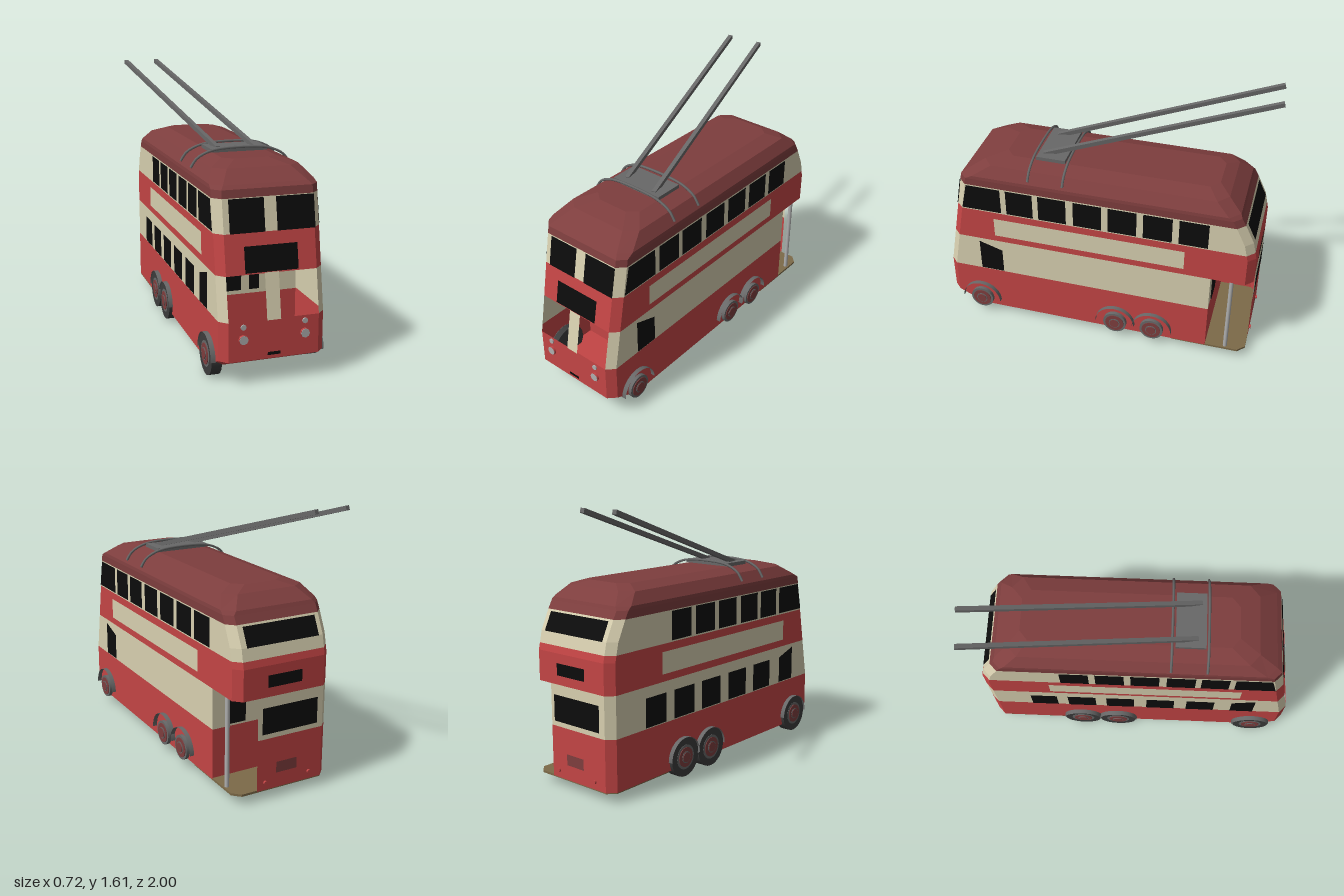
import * as THREE from 'three';

const CX = 0.022, W = 0.305;
const mat = (name, color, side = THREE.DoubleSide) => {
  const m = new THREE.MeshStandardMaterial({ color, side });
  m.name = name;
  return m;
};

export function createModel() {
  const red = mat('red paint', 0xc44545), cream = mat('cream paint', 0xd8d0b0), roofRed = mat('roof maroon', 0x7e3e3e);
  const black = mat('window black', 0x0c0c0c), grey = mat('steel grey', 0x686868), silver = mat('silver', 0xb0b0b0);
  const tyre = mat('tyre', 0x3c3c3c), brown = mat('platform brown', 0x7d6a48);
  const root = new THREE.Group();
  root.name = 'trolleybus';

  const add = (name, geo, material, x = 0, y = 0, z = 0, parent = root) => {
    const m = new THREE.Mesh(geo, material);
    m.name = name;
    m.position.set(x, y, z);
    parent.add(m);
    return m;
  };
  const box = (name, w, h, d, material, x, y, z) => add(name, new THREE.BoxGeometry(w, h, d), material, x, y, z);

  // Eight-cornered horizontal outline with chamfered ends
  const ring = (y, zf, zb, w = W, cf = 0.045, cb = 0.045, c = 0.045, rearX = w - c) => [
    [w, zb + cb], [w, zf - cf], [w - c, zf], [c - w, zf], [-w, zf - cf], [-w, zb + cb], [c - w, zb], [rearX, zb],
  ].map(([x, z]) => new THREE.Vector3(x + CX, y, z));

  // Flat-faced shell through a list of outlines; sides: 0 left, 2 front, 4 right, 6 rear
  const loft = (name, rings, material, { skip = [], bottom = false, top = false } = {}) => {
    const pts = [];
    for (let k = 0; k + 1 < rings.length; k++) {
      const lo = rings[k], hi = rings[k + 1];
      for (let i = 0; i < 8; i++) {
        if (skip.includes(i)) continue;
        const j = (i + 1) % 8;
        pts.push(lo[j], lo[i], hi[i], lo[j], hi[i], hi[j]);
      }
    }
    const first = rings[0], last = rings[rings.length - 1];
    for (let i = 1; i < 7; i++) {
      if (bottom) pts.push(first[0], first[i], first[i + 1]);
      if (top) pts.push(last[0], last[i + 1], last[i]);
    }
    const g = new THREE.BufferGeometry().setFromPoints(pts);
    g.computeVertexNormals();
    return add(name, g, material);
  };

  // Front and rear face positions by height
  const profile = (table) => (y) => {
    for (let i = 1; i < table.length; i++) {
      const [y0, z0] = table[i - 1], [y1, z1] = table[i];
      if (y <= y1) return z0 + (z1 - z0) * (y - y0) / (y1 - y0);
    }
    return table[table.length - 1][1];
  };
  const zf = profile([[0.06, 0.82], [0.14, 0.985], [0.365, 0.985], [1.06, 0.857]]);
  const zb = profile([[0.06, -0.965], [0.79, -0.965], [0.9, -0.94], [1.015, -0.885], [1.06, -0.86]]);
  const full = (y) => ring(y, zf(y), zb(y));
  const front = (y) => ring(y, zf(y), -0.715, W, 0.045, 0);

  // Lower deck, ending at the platform bulkhead, with an open cab front
  loft('lowerRedBody', [front(0.06), front(0.14), front(0.365)], red, { bottom: true });
  loft('lowerCreamBody', [front(0.365), front(0.61)], cream, { skip: [2] });
  // Rear corner around the open platform
  const back = (y) => ring(y, -0.715, -0.965, W, 0, 0.045, 0.045, 0.165);
  const open = { skip: [0, 1, 2, 3, 7] };
  loft('platformRedWall', [back(0.06), back(0.365)], red, open);
  loft('platformCreamWall', [back(0.365), back(0.61)], cream, open);
  const slab = (y) => ring(y, -0.5, -0.964, W - 0.001, 0);
  loft('platformFloor', [slab(0.054), slab(0.067)], brown, { bottom: true, top: true });
  add('platformPole', new THREE.CylinderGeometry(0.013, 0.013, 0.55, 12), silver, 0.305, 0.335, -0.84);

  // Upper deck and domed roof
  loft('middleRedBand', [full(0.61), full(0.79), full(0.83)], red, { bottom: true });
  loft('upperCreamBand', [full(0.83), full(0.9), full(1.015)], cream);
  loft('roof', [full(1.015), full(1.06), ring(1.08, 0.83, -0.85, 0.302, 0.06, 0.06, 0.06),
    ring(1.145, 0.72, -0.77, 0.255, 0.06, 0.06, 0.07), ring(1.175, 0.6, -0.7, 0.16, 0.05, 0.05, 0.06)], roofRed, { top: true });

  // Thin painted plates laid on the faces
  const plate = (name, pts, material, map) => {
    const g = new THREE.ShapeGeometry(new THREE.Shape(pts.map((p) => new THREE.Vector2(...p))));
    const p = g.attributes.position;
    for (let i = 0; i < p.count; i++) p.setXYZ(i, ...map(p.getX(i), p.getY(i)));
    g.computeVertexNormals();
    // Keep the normals pointing out of the body
    return add(name, g, material);
  };
  const rect = (a, b, c, d) => [[a, c], [b, c], [b, d], [a, d]];
  const onFront = (x, y) => [x, y, zf(y) + 0.004];
  const onRear = (x, y) => [-x, y, zb(y) - 0.004];
  const onSide = (s) => (u, y) => [CX + s * (W + 0.004), y, -s * u];
  // Side plates take z from front to back and an optional lower front top corner
  const sidePlate = (name, s, pts, material) => {
    const q = pts.map(([z, y]) => [-s * z, y]);
    plate(name, q, material, onSide(s));
  };

  for (const s of [1, -1]) {
    sidePlate('frontUpperWindow', s, [[0.85, 0.84], [0.595, 0.84], [0.595, 1.01], [0.812, 1.01]], black);
    const spans = [[0.39, 0.56], [0.18, 0.355], [-0.04, 0.135], [-0.255, -0.08], [-0.47, -0.295], [-0.685, -0.51]];
    spans.slice(0, s > 0 ? 6 : 5).forEach(([a, b]) => sidePlate('upperWindow', s, rect(a, b, 0.84, 1.01), black));
    sidePlate('sidePanel', s, rect(-0.55, 0.65, 0.655, 0.785), cream);
    sidePlate('cabSideWindow', s, [[0.76, 0.372], [0.61, 0.372], [0.61, 0.54], [0.76, 0.588]], black);
  }
  for (const [a, b] of [[0.32, 0.5], [0.06, 0.24], [-0.2, -0.02], [-0.45, -0.27], [-0.69, -0.52]])
    sidePlate('lowerWindow', -1, rect(a, b, 0.372, 0.545), black);

  plate('frontUpperWindow', rect(-0.205, -0.005, 0.83, 1.012), black, onFront);
  plate('frontUpperWindow', rect(0.065, 0.285, 0.83, 1.012), black, onFront);
  plate('frontSign', rect(-0.13, 0.175, 0.618, 0.76), black, onFront);
  plate('numberPlate', rect(-0.015, 0.06, 0.16, 0.178), black, onFront);
  plate('cabPillar', rect(-0.02, 0.06, 0.36, 0.615), cream, onFront);
  plate('rearUpperWindow', rect(-0.25, 0.21, 0.9, 1.005), black, onRear);
  plate('rearSign', rect(-0.13, 0.09, 0.665, 0.735), black, onRear);
  plate('rearLowerWindow', rect(-0.16, 0.2, 0.395, 0.55), black, onRear);
  plate('rearPlate', rect(-0.065, 0.07, 0.15, 0.215), roofRed, onRear);

  // Cab bulkhead and platform bulkhead windows
  box('cabBulkheadLower', 0.6, 0.3, 0.01, red, CX, 0.215, 0.55);
  box('cabBulkheadUpper', 0.6, 0.245, 0.01, cream, CX, 0.4875, 0.55);
  box('cabBulkheadWindow', 0.18, 0.15, 0.006, black, -0.11, 0.465, 0.558);
  box('cabBulkheadWindow', 0.06, 0.15, 0.006, black, 0.06, 0.465, 0.558);
  box('platformBulkheadWindow', 0.13, 0.16, 0.006, black, 0.18, 0.46, -0.719);

  // Lamps
  const lamp = (name, r, depth, material, x, y, z) => {
    add(name, new THREE.CylinderGeometry(r, r, depth, 8).rotateX(Math.PI / 2), material, x, y, z);
  };
  for (const x of [-0.155, 0.2]) {
    lamp('headlampHousing', 0.028, 0.014, red, x, 0.265, 0.99);
    lamp('headlampLens', 0.026, 0.004, silver, x, 0.265, 0.998);
    lamp('sideLamp', 0.016, 0.01, silver, x, 0.335, 0.988);
  }
  for (const x of [-0.155, 0.135]) lamp('tailLamp', 0.012, 0.012, red, x, 0.105, -0.97);

  // Wheels and thin half-round arches
  const disc = (name, r, x0, x1, material, z) =>
    add(name, new THREE.CylinderGeometry(r, r, Math.abs(x1 - x0), 24).rotateZ(Math.PI / 2), material, (x0 + x1) / 2, 0.12, z);
  for (const z of [0.775, -0.13, -0.37]) {
    for (const s of [1, -1]) {
      const side = CX + s * W;
      const at = (d) => side + s * d;
      const arch = new THREE.CylinderGeometry(0.127, 0.127, 0.03, 20, 1, true, 0, Math.PI).rotateZ(Math.PI / 2);
      add('wheelArch', arch, grey, at(0.013), 0.115, z);
      if (s < 0) disc('tyre', 0.12, at(-0.04), at(0.02), tyre, z);
      disc('wheelRim', 0.075, at(-0.03), at(0.022), grey, z);
      disc('wheelDisc', 0.06, at(0), at(0.026), roofRed, z);
      disc('hubRing', 0.036, at(0), at(0.029), grey, z);
      disc('hub', 0.03, at(0), at(0.032), roofRed, z);
    }
  }

  // Roof gantry
  for (const z of [0.415, 0.2]) {
    const half = [[-0.3, 1.1], [-0.265, 1.15], [-0.19, 1.188], [-0.11, 1.202]];
    const path = [...half, ...half.map(([x, y]) => [-x, y]).reverse()].map(([x, y]) => new THREE.Vector3(x + CX, y, z));
    add('roofBand', new THREE.TubeGeometry(new THREE.CatmullRomCurve3(path), 24, 0.008, 6), grey);
  }
  box('gantryPlate', 0.345, 0.022, 0.18, grey, 0.018, 1.188, 0.31);

  // Trolley poles
  for (const [a, b] of [[[-0.095, 1.19, 0.35], [-0.345, 1.595, -0.97]], [[0.13, 1.19, 0.37], [-0.13, 1.595, -0.99]]]) {
    const from = new THREE.Vector3(...a), to = new THREE.Vector3(...b);
    const pole = add('trolleyPole', new THREE.BoxGeometry(0.026, 0.026, from.distanceTo(to)), grey);
    pole.position.copy(from).lerp(to, 0.5);
    pole.lookAt(to);
  }
  return root;
}
